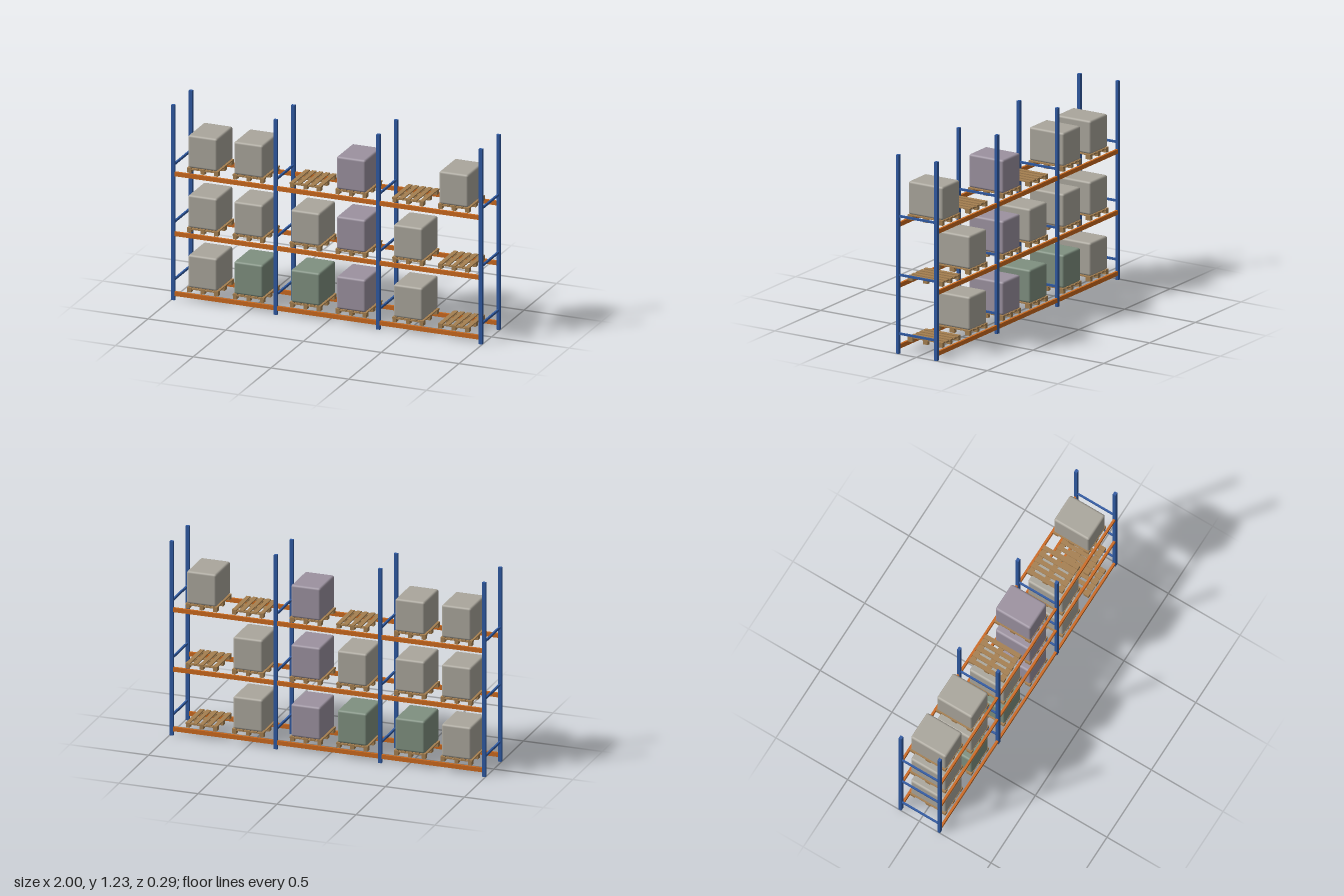
import * as THREE from 'three';
import { RoundedBoxGeometry } from 'three/addons/geometries/RoundedBoxGeometry.js';

const paint = (name, color) => {
  const m = new THREE.MeshStandardMaterial({ color });
  m.name = name;
  return m;
};

export function createModel() {
  const blue = paint('blue steel', 0x2f5aa3);
  const orange = paint('orange steel', 0xcc6a1e);
  const wood = paint('pallet wood', 0xa57f50);
  const wraps = {
    g: paint('grey wrap', 0xaaa69c),
    n: paint('green wrap', 0x7f9080),
    p: paint('purple wrap', 0x9c92a0),
  };

  const root = new THREE.Group();
  root.name = 'palletRack';

  const box = (parent, name, mat, w, h, d, x, y, z) => {
    const mesh = new THREE.Mesh(new THREE.BoxGeometry(w, h, d), mat);
    mesh.name = name;
    mesh.position.set(x, y, z);
    parent.add(mesh);
  };

  const H = 1.232;          // upright height
  const LEVEL = 0.378;      // spacing between beam levels
  const FRAMES = [-0.989, -0.33, 0.33, 0.989];

  // Upright frames: two posts joined by three cross braces
  FRAMES.forEach((x) => {
    const frame = new THREE.Group();
    frame.name = 'uprightFrame';
    for (const s of [-1, 1]) box(frame, 'post', blue, 0.022, H, 0.019, x, H / 2, s * 0.135);
    for (let i = 0; i < 3; i++) {
      box(frame, 'crossBrace', blue, 0.011, 0.013, 0.254, x, 0.124 + i * 0.364, 0);
    }
    root.add(frame);
  });

  // Load beams between neighbouring frames, front and back
  for (let level = 0; level < 3; level++) {
    for (let bay = 0; bay < 3; bay++) {
      const a = FRAMES[bay] + 0.011, b = FRAMES[bay + 1] - 0.011;
      for (const s of [-1, 1]) {
        box(root, 'loadBeam', orange, b - a, 0.027, 0.014, (a + b) / 2, 0.041 + level * LEVEL, s * 0.136);
      }
    }
  }

  // Pallet: nine blocks, three stringers along x, five deck slats along z
  const makePallet = () => {
    const pallet = new THREE.Group();
    pallet.name = 'pallet';
    for (let k = -1; k <= 1; k++) {
      const z = k * 0.1065;
      for (let i = -1; i <= 1; i++) {
        box(pallet, 'block', wood, 0.024, 0.02, 0.033, i * 0.0865, 0.01, z);
      }
      box(pallet, 'stringer', wood, 0.2, 0.005, 0.033, 0, 0.0225, z);
    }
    for (let i = -2; i <= 2; i++) {
      box(pallet, 'deckSlat', wood, 0.027, 0.006, 0.246, i * 0.0433, 0.028, 0);
    }
    return pallet;
  };

  // Pallet places from the bottom level up; '-' is an empty pallet
  const layout = ['gnnpg-', 'gggpg-', 'gg-p-g'];
  const loadGeometry = new RoundedBoxGeometry(0.188, 0.206, 0.246, 3, 0.014);
  layout.forEach((row, level) => {
    [...row].forEach((kind, i) => {
      const x = (Math.floor(i / 2) - 1) * 0.66 + (i % 2 ? 0.147 : -0.147);
      const y = 0.0545 + level * LEVEL;
      const pallet = makePallet();
      pallet.position.set(x, y, 0);
      if (wraps[kind]) {
        const load = new THREE.Mesh(loadGeometry, wraps[kind]);
        load.name = 'wrappedLoad';
        load.position.y = 0.031 + 0.103;
        pallet.add(load);
      }
      root.add(pallet);
    });
  });

  return root;
}
